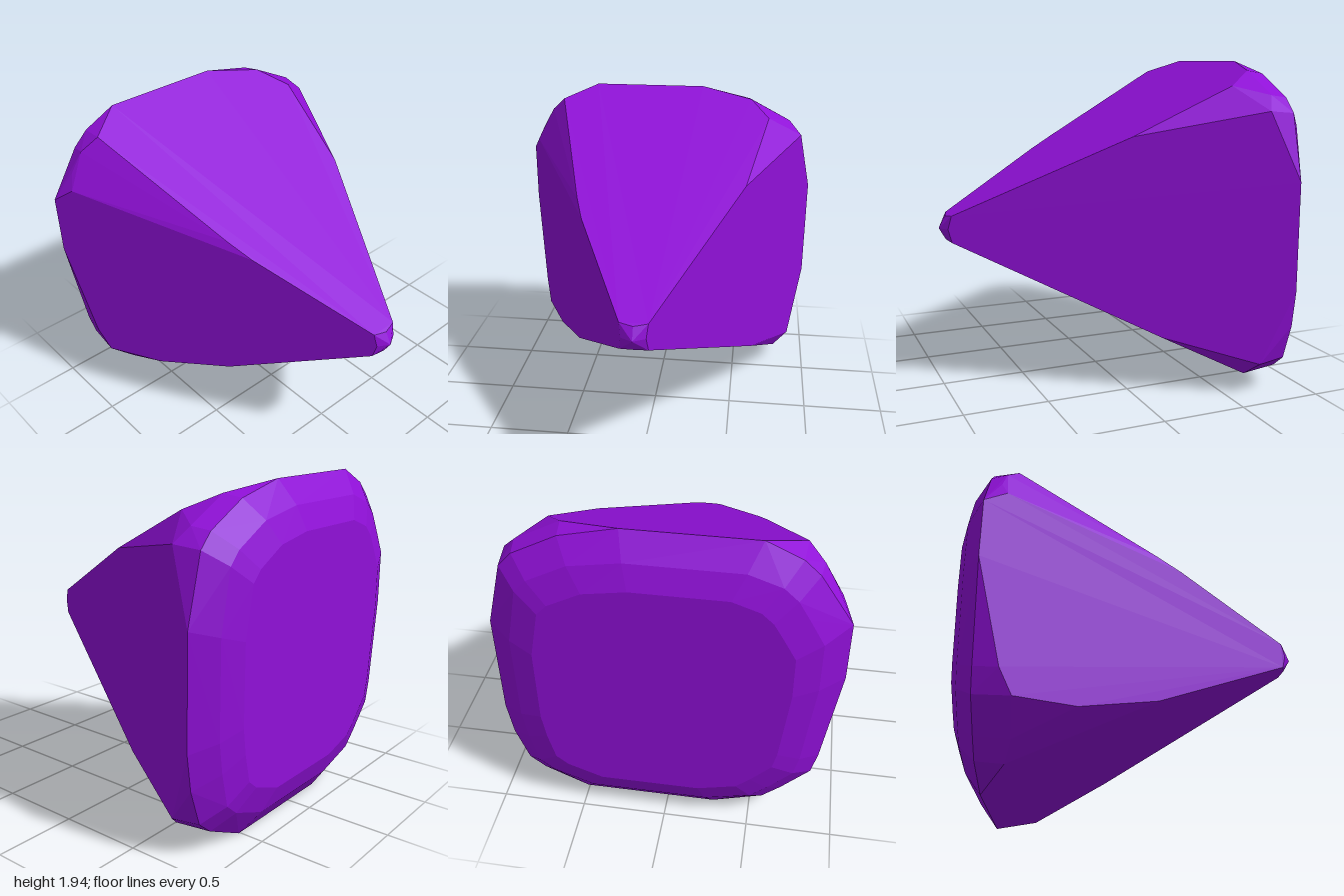
import * as THREE from 'three';
import { ConvexGeometry } from 'three/addons/geometries/ConvexGeometry.js';

const CY = 0.97; // height of the crystal's long axis

// The four main facets form a square pyramid along x: distance from the axis gives x.
const onPyramid = (z, y) => 0.96 - 2.011 * (Math.max(Math.abs(z), Math.abs(y - CY)) - 0.07);

export function createModel() {
  const group = new THREE.Group();
  const points = [];
  const add = (x, y, z) => points.push(new THREE.Vector3(x, y, z));

  // Girdle outline [z, y, optional x]; points without x lie on the pyramid facets
  const girdle = [
    [0.5, 1.94], [-0.22, 1.94], [-0.55, 1.885], [-0.81, 1.75, -0.74], [-0.89, 1.665],
    [-0.97, 1.27], [-0.97, 0.63], [-0.94, 0.42, -0.85], [-0.885, 0.19], [-0.79, 0.11],
    [-0.51, 0], [0.28, 0], [0.59, 0.08], [0.7, 0.18, -0.65], [0.865, 0.355], [0.9, 0.5],
    [0.97, 1.12], [0.97, 1.48], [0.91, 1.57], [0.87, 1.66, -0.77], [0.8, 1.78, -0.755], [0.71, 1.865],
  ];
  // Bevel rings [x, scale] shrinking to the flat base
  const rings = [[-0.85, 0.98], [-0.95, 0.86], [-1, 0.72]];
  for (const [z, y, x = onPyramid(z, y)] of girdle) {
    add(x, y, z);
    for (const [rx, s] of rings) add(rx, CY + (y - CY) * s, z * s);
  }

  // Upper ends of the corner cuts, where the pyramid ridges stop
  const cuts = [
    [0.405, 1.375], [0.46, 1.45], [-0.55, 1.52], [-0.67, 1.80],
    [-0.63, 0.34], [0.48, 0.49], [0.7, 0.365],
  ];
  for (const [z, y] of cuts) add(onPyramid(z, y), y, z);

  // Blunt four-faced tip
  add(1, CY, 0);
  for (const s of [-1, 1]) {
    add(0.96, CY + 0.07 * s, 0);
    add(0.96, CY, 0.07 * s);
    for (const t of [-1, 1]) add(0.94, CY + 0.08 * s, 0.08 * t);
  }

  const crystal = new THREE.Mesh(
    new ConvexGeometry(points),
    new THREE.MeshStandardMaterial({ color: 0x9010d8, flatShading: true })
  );
  crystal.name = 'crystalShard';
  group.add(crystal);
  return group;
}
